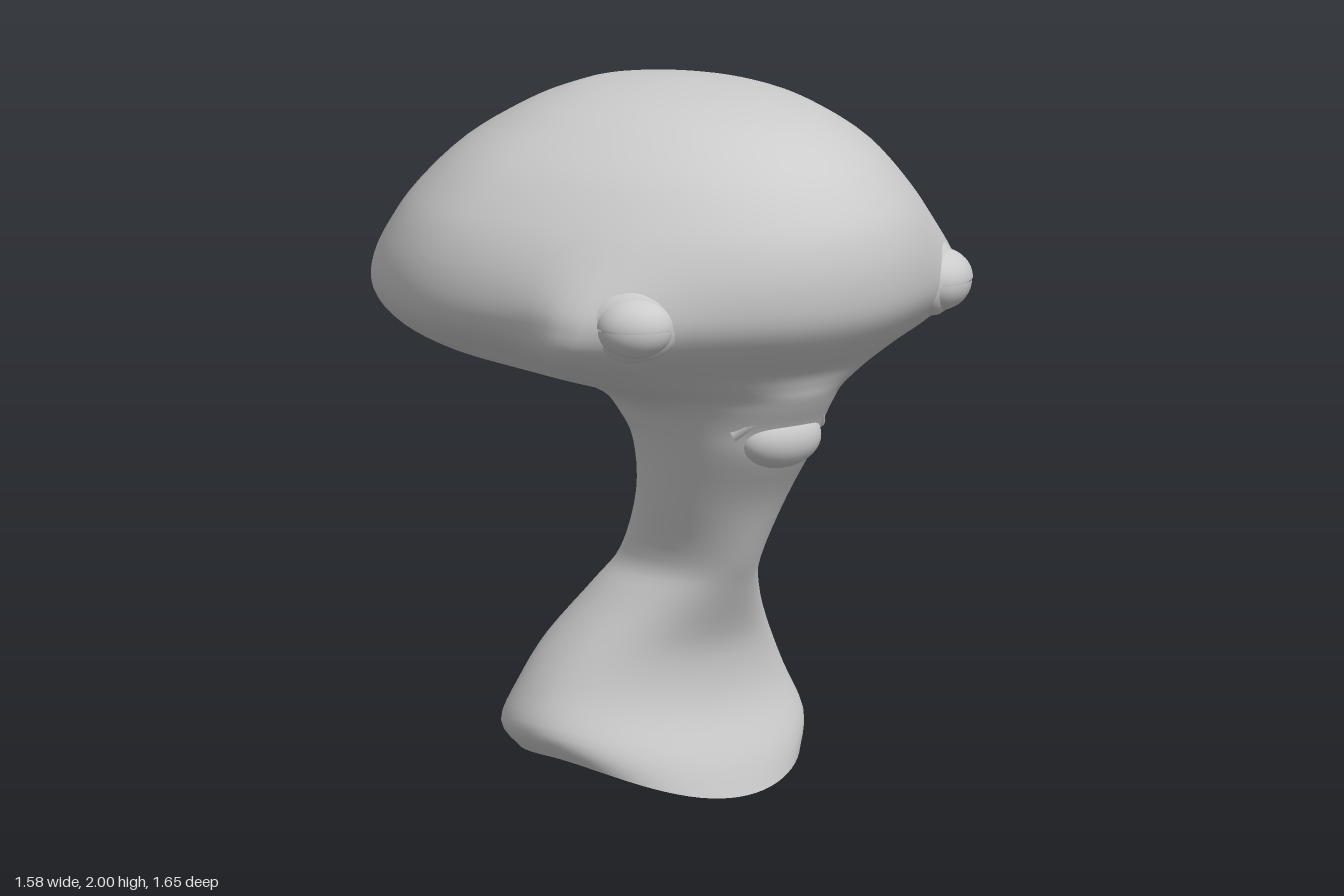
import * as THREE from 'three';

const skin = new THREE.MeshStandardMaterial({ color: 0xcccccc, roughness: 0.8, side: THREE.DoubleSide });

// Horizontal sections, crown to chest:
// height, half width, front z, back z, z of the widest point, hollowness of the face
const SECTIONS = [
  [2.0, 0, 0.03, 0.03, 0.03, 1],
  [1.985, 0.19, 0.26, -0.19, 0.03, 1.05],
  [1.955, 0.32, 0.42, -0.3, 0.02, 1.1],
  [1.91, 0.43, 0.55, -0.4, 0, 1.15],
  [1.82, 0.58, 0.69, -0.54, -0.03, 1.2],
  [1.7, 0.7, 0.785, -0.66, -0.06, 1.2],
  [1.6, 0.76, 0.82, -0.735, -0.08, 1.15],
  [1.5, 0.787, 0.825, -0.8, -0.1, 1.1],
  [1.41, 0.78, 0.805, -0.82, -0.1, 1.1],
  [1.33, 0.725, 0.745, -0.765, -0.06, 1.2],
  [1.26, 0.615, 0.675, -0.66, 0, 1.35],
  [1.215, 0.475, 0.65, -0.54, 0.09, 1.3],
  [1.18, 0.35, 0.637, -0.38, 0.19, 1.2],
  [1.14, 0.285, 0.615, -0.16, 0.26, 1.05],
  [1.08, 0.255, 0.58, -0.07, 0.28, 1],
  [1.0, 0.23, 0.55, -0.01, 0.27, 1],
  [0.85, 0.197, 0.45, -0.01, 0.22, 1],
  [0.67, 0.165, 0.365, -0.1, 0.12, 1],
  [0.57, 0.22, 0.315, -0.18, 0.06, 1],
  [0.42, 0.335, 0.25, -0.3, 0, 1],
  [0.3, 0.415, 0.25, -0.355, -0.03, 1],
  [0.19, 0.465, 0.31, -0.4, -0.03, 1],
  [0.12, 0.42, 0.34, -0.36, 0, 1],
];

const bell = (v, centre, width) => Math.exp(-(((v - centre) / width) ** 2));

// Smooth (Catmull-Rom) blend between neighbouring sections
function sectionAt(i, t) {
  const last = SECTIONS.length - 1;
  const [y, w, f, b, m, e] = SECTIONS[1];
  const p0 = i === 0 ? [y, -w, b, f, m, e] : SECTIONS[i - 1]; // mirrored, so the crown is round
  const p1 = SECTIONS[i], p2 = SECTIONS[i + 1], p3 = SECTIONS[Math.min(i + 2, last)];
  return p1.map((v, k) => v + 0.5 * t * (p2[k] - p0[k]
    + t * (2 * p0[k] - 5 * v + 4 * p2[k] - p3[k]
    + t * (3 * (v - p2[k]) + p3[k] - p0[k]))));
}

// Widens the cheeks around and below the eyes, and hollows the sides behind them
function cheekFactor(y, z) {
  const below = THREE.MathUtils.clamp((1.42 - y) / 0.2, 0, 1);
  const cheek = (0.17 + 0.15 * below) * bell(y, 1.38, 0.17) * bell(z, 0.48 - 0.1 * below, 0.16);
  const hollow = 0.07 * bell(y, 1.28, 0.07) * bell(z, 0, 0.2);
  return 1 + cheek - hollow;
}

// Head, neck and chest in one skin, open at the bottom
function bodyGeometry(around = 80, steps = 4) {
  const rings = [];
  for (let i = 0; i < SECTIONS.length - 1; i++)
    for (let s = 0; s < steps; s++) rings.push(sectionAt(i, s / steps));
  rings.push(SECTIONS[SECTIONS.length - 1]);

  const pos = [], index = [];
  rings.forEach(([y, w, front, back, mid, hollow], r) => {
    // the rim sags towards the front of the chest
    const sag = 0.12 * THREE.MathUtils.clamp((0.4 - y) / 0.28, 0, 1);
    const keel = y > 1.2 ? 1.14 : 1; // slight ridge at the back of the skull
    for (let j = 0; j < around; j++) {
      const a = (j / around) * Math.PI * 2, c = Math.cos(a), s = Math.sin(a);
      const isFront = s >= 0;
      const z = isFront ? mid + (front - mid) * Math.pow(s, hollow) : mid + (back - mid) * -s;
      const x = w * Math.sign(c) * Math.pow(Math.abs(c), isFront ? 1 : keel) * cheekFactor(y, z);
      pos.push(x, y - sag * s * s * (isFront ? 1 : 0.2), z);
      if (r < rings.length - 1) {
        const p = r * around + j, q = r * around + (j + 1) % around;
        index.push(p, q, p + around, q, q + around, p + around);
      }
    }
  });
  const g = new THREE.BufferGeometry();
  g.setAttribute('position', new THREE.Float32BufferAttribute(pos, 3));
  g.setIndex(index);
  g.computeVertexNormals();
  return g;
}

function part(name, geometry, parent) {
  const m = new THREE.Mesh(geometry, skin);
  m.name = name;
  parent.add(m);
  return m;
}

// Heavy-lidded eye facing outwards; side is +1 (left) or -1 (right)
function addEye(parent, side) {
  const eye = new THREE.Group();
  eye.name = side > 0 ? 'leftEye' : 'rightEye';
  eye.position.set(side * 0.555, 1.44, 0.545);
  eye.rotation.y = side * 0.65;
  parent.add(eye);

  part('eyeball', new THREE.SphereGeometry(1, 32, 20), eye).scale.set(0.104, 0.075, 0.086);
  const upper = part('upperLid', new THREE.SphereGeometry(1, 32, 12, 0, Math.PI * 2, 0, Math.PI / 2), eye);
  upper.scale.set(0.112, 0.085, 0.096);
  const lower = part('lowerLid', new THREE.SphereGeometry(1, 32, 12, 0, Math.PI * 2, Math.PI / 2, Math.PI / 2), eye);
  lower.scale.set(0.11, 0.085, 0.093);
  lower.position.y = -0.006;
  // soft fold of skin around the lids
  const fold = part('socketFold', new THREE.SphereGeometry(1, 32, 20), eye);
  fold.scale.set(0.135, 0.105, 0.06);
  fold.position.z = -0.01;
}

// Down-turned mouth: an arched upper lip over a pouting lower lip
function addMouth(parent) {
  const mouth = new THREE.Group();
  mouth.name = 'mouth';
  parent.add(mouth);
  const arch = [[-0.155, 1.075, 0.495], [-0.1, 1.122, 0.55], [0, 1.138, 0.587], [0.1, 1.122, 0.55], [0.155, 1.075, 0.495]];
  const curve = new THREE.CatmullRomCurve3(arch.map(p => new THREE.Vector3(...p)));
  part('upperLip', new THREE.TubeGeometry(curve, 32, 0.022, 12), mouth);
  const lip = part('lowerLip', new THREE.SphereGeometry(1, 32, 20), mouth);
  lip.scale.set(0.135, 0.085, 0.085);
  lip.position.set(0, 1.05, 0.515);
}

export function createModel() {
  const model = new THREE.Group();
  model.name = 'bust';
  part('headAndNeck', bodyGeometry(), model);
  for (const side of [1, -1]) addEye(model, side);
  addMouth(model);
  return model;
}
